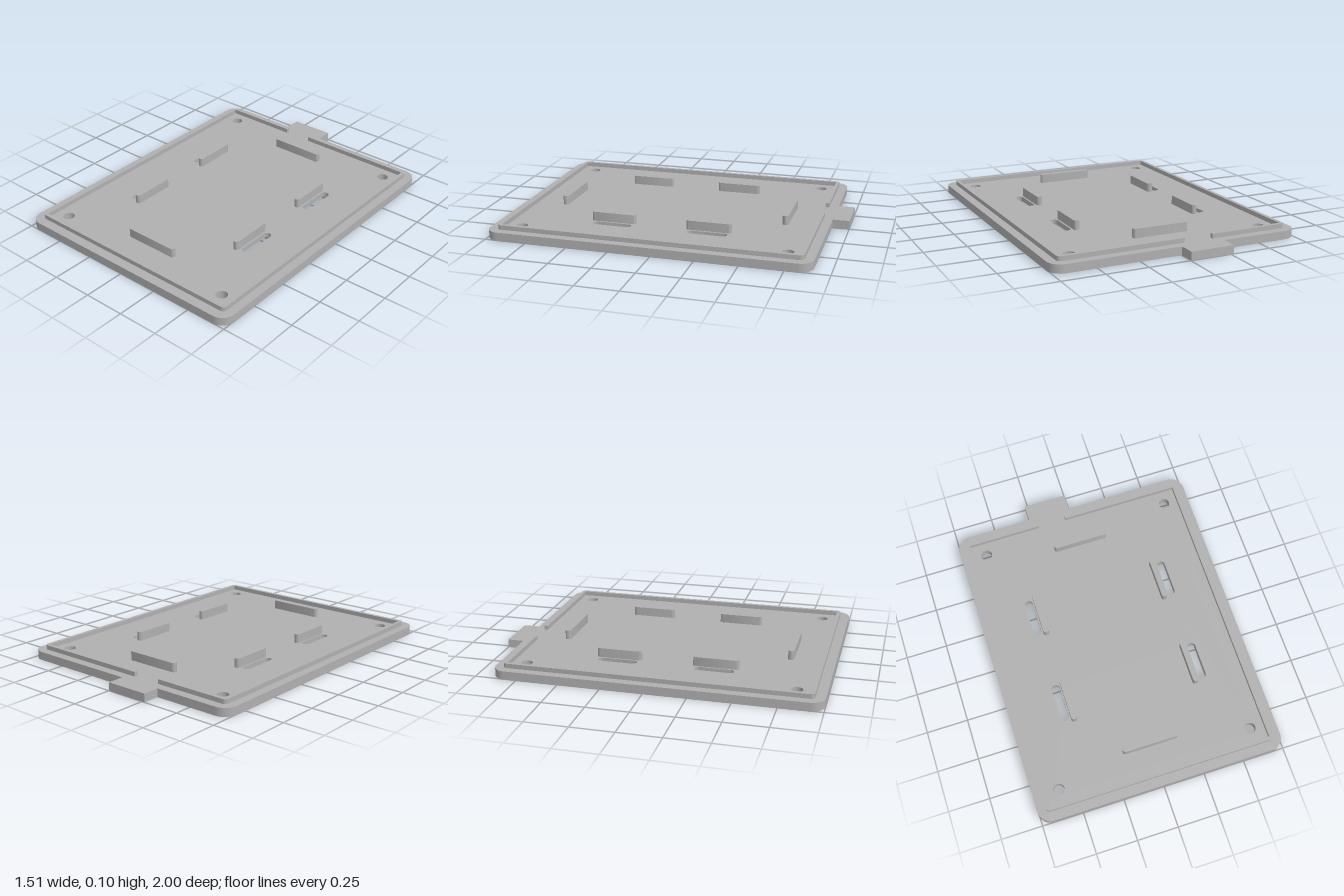
import * as THREE from 'three';
import { toCreasedNormals } from 'three/addons/utils/BufferGeometryUtils.js';

const TOP = 0.05, CHANNEL = 0.02, RIM_TOP = 0.077, RIB_TOP = 0.105;

// Rounded rectangle in plan (x, z), usable as a shape or as a hole
function roundRect(x0, z0, x1, z1, r, Type = THREE.Shape) {
  const s = new Type();
  s.moveTo(x0 + r, z0);
  s.lineTo(x1 - r, z0);
  s.absarc(x1 - r, z0 + r, r, -Math.PI / 2, 0, false);
  s.lineTo(x1, z1 - r);
  s.absarc(x1 - r, z1 - r, r, 0, Math.PI / 2, false);
  s.lineTo(x0 + r, z1);
  s.absarc(x0 + r, z1 - r, r, Math.PI / 2, Math.PI, false);
  s.lineTo(x0, z0 + r);
  s.absarc(x0 + r, z0 + r, r, Math.PI, Math.PI * 1.5, false);
  return s;
}

// Base outline with the tab on the back edge
function baseOutline() {
  const X = 0.755, B = -0.9, F = 1, r = 0.08, H = Math.PI / 2;
  const s = new THREE.Shape();
  s.moveTo(-X + r, B);
  s.lineTo(-0.27, B);
  s.lineTo(-0.27, -1);
  s.lineTo(-0.003, -1);
  s.lineTo(-0.003, B);
  s.lineTo(X - r, B);
  s.absarc(X - r, B + r, r, -H, 0, false);
  s.lineTo(X, F - r);
  s.absarc(X - r, F - r, r, 0, H, false);
  s.lineTo(-X + r, F);
  s.absarc(-X + r, F - r, r, H, 2 * H, false);
  s.lineTo(-X, B + r);
  s.absarc(-X + r, B + r, r, 2 * H, 3 * H, false);
  return s;
}

// Open rim with a gap in its back wall
function rimOutline() {
  const X = 0.703, B = -0.847, F = 0.943, r = 0.025, t = 0.022, H = Math.PI / 2;
  const gap0 = -0.225, gap1 = -0.048;
  const s = new THREE.Shape();
  s.moveTo(gap1, B);
  s.lineTo(X - r, B);
  s.absarc(X - r, B + r, r, -H, 0, false);
  s.lineTo(X, F - r);
  s.absarc(X - r, F - r, r, 0, H, false);
  s.lineTo(-X + r, F);
  s.absarc(-X + r, F - r, r, H, 2 * H, false);
  s.lineTo(-X, B + r);
  s.absarc(-X + r, B + r, r, 2 * H, 3 * H, false);
  s.lineTo(gap0, B);
  s.lineTo(gap0, B + t);
  s.lineTo(-X + t, B + t);
  s.lineTo(-X + t, F - t);
  s.lineTo(X - t, F - t);
  s.lineTo(X - t, B + t);
  s.lineTo(gap1, B + t);
  s.closePath();
  return s;
}

export function createModel() {
  const model = new THREE.Group();
  model.name = 'mountingPlate';
  const grey = new THREE.MeshStandardMaterial({ color: 0xb0b0b0 });
  grey.name = 'grey plastic';

  // Raise a plan shape from y0 to y1
  function slab(name, shape, y0, y1) {
    const geo = new THREE.ExtrudeGeometry(shape, { depth: y1 - y0, bevelEnabled: false, curveSegments: 12 });
    geo.rotateX(Math.PI / 2);
    geo.translate(0, y1, 0);
    const mesh = new THREE.Mesh(toCreasedNormals(geo, 0.5), grey);
    mesh.name = name;
    model.add(mesh);
  }

  const lower = baseOutline(), upper = baseOutline();

  // Four screw holes through both layers
  for (const x of [-0.597, 0.597]) {
    for (const z of [-0.742, 0.835]) {
      for (const layer of [lower, upper]) {
        layer.holes.push(new THREE.Path().absarc(x, z, 0.034, 0, Math.PI * 2, false));
      }
    }
  }

  // Strap channels underneath, with a slot through the plate at each end
  for (const [z0, z1] of [[-0.36, -0.123], [0.217, 0.452]]) {
    const channel = new THREE.Path();
    channel.moveTo(-0.461, z0);
    channel.lineTo(0.461, z0);
    channel.lineTo(0.461, z1);
    channel.lineTo(-0.461, z1);
    channel.closePath();
    lower.holes.push(channel);
    for (const x of [-0.437, 0.437]) {
      upper.holes.push(roundRect(x - 0.024, z0, x + 0.024, z1, 0.0235, THREE.Path));
    }
  }

  slab('basePlateLower', lower, 0, CHANNEL);
  slab('basePlateUpper', upper, CHANNEL, TOP);
  slab('rim', rimOutline(), TOP, RIM_TOP);

  // Ribs beside the slots
  for (const x of [-0.386, 0.384]) {
    for (const [z0, z1] of [[-0.376, -0.106], [0.202, 0.472]]) {
      slab('sideRib', roundRect(x - 0.018, z0, x + 0.018, z1, 0.0175), TOP, RIB_TOP);
    }
  }
  // Ribs near the front and back
  for (const z of [-0.645, 0.738]) {
    slab('endRib', roundRect(-0.174, z - 0.018, 0.17, z + 0.018, 0.0175), TOP, RIB_TOP);
  }
  return model;
}
